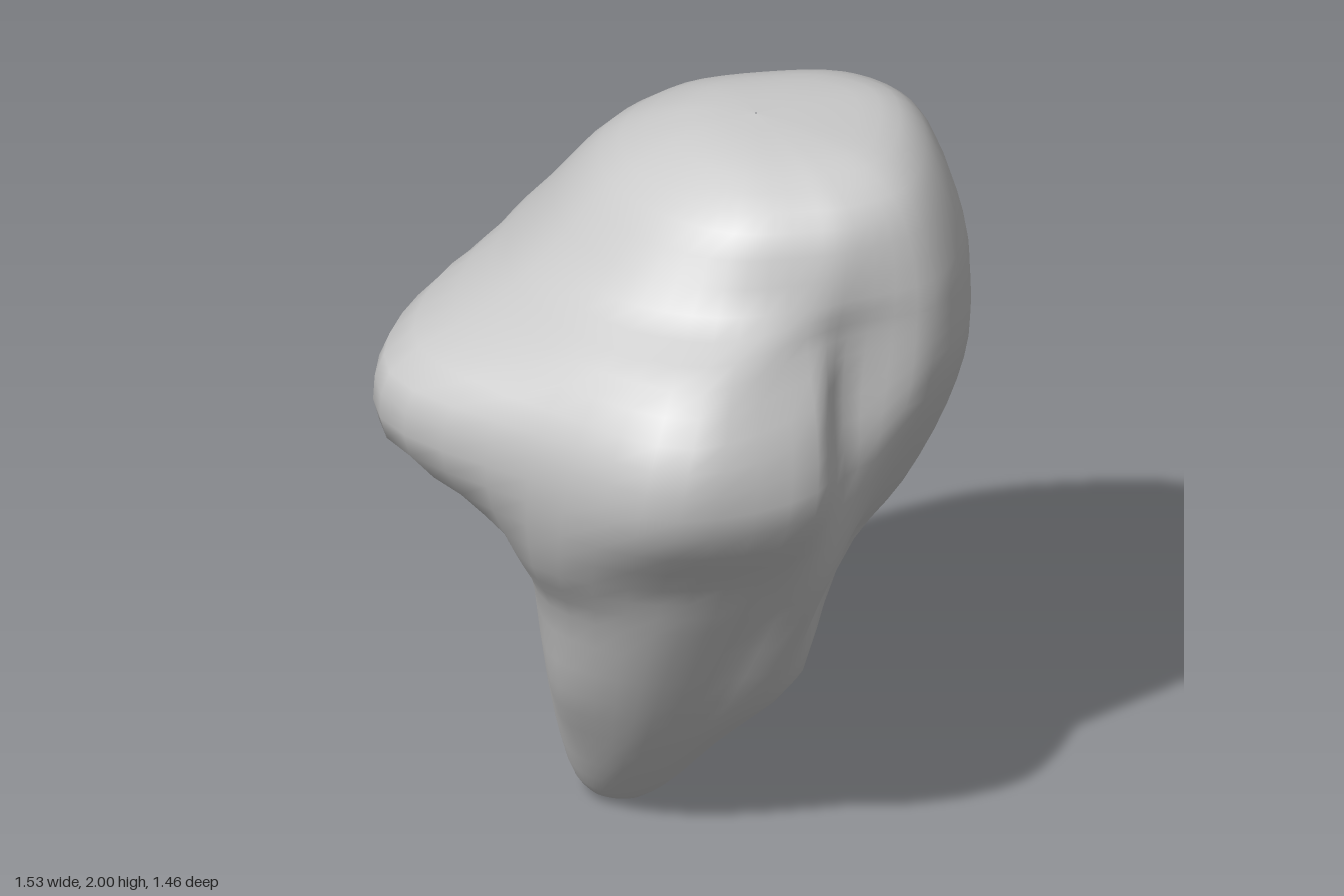
import * as THREE from 'three';

// Directions of the ribs in degrees, from +x round through +z, placed on the stone's ridges and hollows
const ANGLES = [-25, 8, 38, 60, 74, 100, 130, 165, 194, 219, 250, 280, 310];
// Heights of the cross-sections, and their radius along each rib
const HEIGHTS = [0.06, 0.25, 0.48, 0.78, 0.96, 1.2, 1.4, 1.57, 1.68, 1.87, 1.96];
const RADII = [
  [0.13, 0.135, 0.145, 0.15, 0.15, 0.14, 0.13, 0.12, 0.11, 0.09, 0.09, 0.09, 0.11],
  [0.22, 0.24, 0.28, 0.31, 0.31, 0.30, 0.26, 0.21, 0.20, 0.18, 0.15, 0.15, 0.18],
  [0.36, 0.37, 0.46, 0.49, 0.46, 0.45, 0.41, 0.29, 0.28, 0.29, 0.32, 0.34, 0.35],
  [0.48, 0.48, 0.46, 0.61, 0.60, 0.61, 0.54, 0.39, 0.37, 0.39, 0.36, 0.34, 0.40],
  [0.57, 0.575, 0.54, 0.65, 0.68, 0.70, 0.68, 0.51, 0.47, 0.52, 0.51, 0.53, 0.55],
  [0.60, 0.64, 0.62, 0.63, 0.79, 0.87, 0.78, 0.85, 0.76, 0.66, 0.54, 0.58, 0.59],
  [0.56, 0.65, 0.65, 0.56, 0.71, 0.88, 0.79, 0.88, 0.76, 0.65, 0.54, 0.57, 0.66],
  [0.58, 0.62, 0.63, 0.53, 0.56, 0.74, 0.68, 0.62, 0.59, 0.60, 0.55, 0.60, 0.69],
  [0.59, 0.59, 0.60, 0.53, 0.52, 0.53, 0.52, 0.51, 0.51, 0.53, 0.53, 0.56, 0.66],
  [0.51, 0.48, 0.50, 0.47, 0.44, 0.42, 0.38, 0.37, 0.38, 0.40, 0.42, 0.44, 0.52],
  [0.40, 0.37, 0.37, 0.32, 0.29, 0.27, 0.24, 0.22, 0.22, 0.24, 0.27, 0.29, 0.36],
];
const COLUMNS = ANGLES.length * 4;
const STEPS = 3;

// One cross-section, rounded into a closed loop about the leaning axis of the stone
function ring(y, radii, scale) {
  const points = radii.map((r, k) => {
    const a = THREE.MathUtils.degToRad(ANGLES[k]);
    return new THREE.Vector3(
      -0.12 + 0.17 * y + Math.cos(a) * r * scale,
      y,
      -0.25 + 0.08 * y + Math.sin(a) * r * scale
    );
  });
  const curve = new THREE.CatmullRomCurve3(points, true, 'centripetal');
  return Array.from({ length: COLUMNS }, (_, j) => curve.getPoint(j / COLUMNS));
}

function stoneGeometry() {
  const first = RADII[0];
  const last = RADII[RADII.length - 1];
  // Both ends close with a small, nearly flat cap
  const rings = [
    ring(0, first, 0.01),
    ring(0.005, first, 0.5),
    ...HEIGHTS.map((y, i) => ring(y, RADII[i], 1)),
    ring(1.99, last, 0.55),
    ring(2, last, 0.01),
  ];
  const rows = (rings.length - 1) * STEPS + 1;
  const positions = new Float32Array(rows * COLUMNS * 3);
  const index = [];
  for (let j = 0; j < COLUMNS; j++) {
    const rib = new THREE.CatmullRomCurve3(rings.map((r) => r[j]), false, 'centripetal');
    for (let i = 0; i < rows; i++) {
      rib.getPoint(i / (rows - 1)).toArray(positions, (i * COLUMNS + j) * 3);
    }
  }
  for (let i = 0; i < rows - 1; i++) {
    for (let j = 0; j < COLUMNS; j++) {
      const a = i * COLUMNS + j;
      const b = i * COLUMNS + ((j + 1) % COLUMNS);
      index.push(a, a + COLUMNS, b, b, a + COLUMNS, b + COLUMNS);
    }
  }
  const geometry = new THREE.BufferGeometry();
  geometry.setAttribute('position', new THREE.BufferAttribute(positions, 3));
  geometry.setIndex(index);
  geometry.computeVertexNormals();
  return geometry;
}

export function createModel() {
  const group = new THREE.Group();
  group.name = 'rock';
  const stone = new THREE.Mesh(stoneGeometry(), new THREE.MeshStandardMaterial({ color: 0xcccccc }));
  stone.name = 'stone';
  group.add(stone);
  return group;
}
